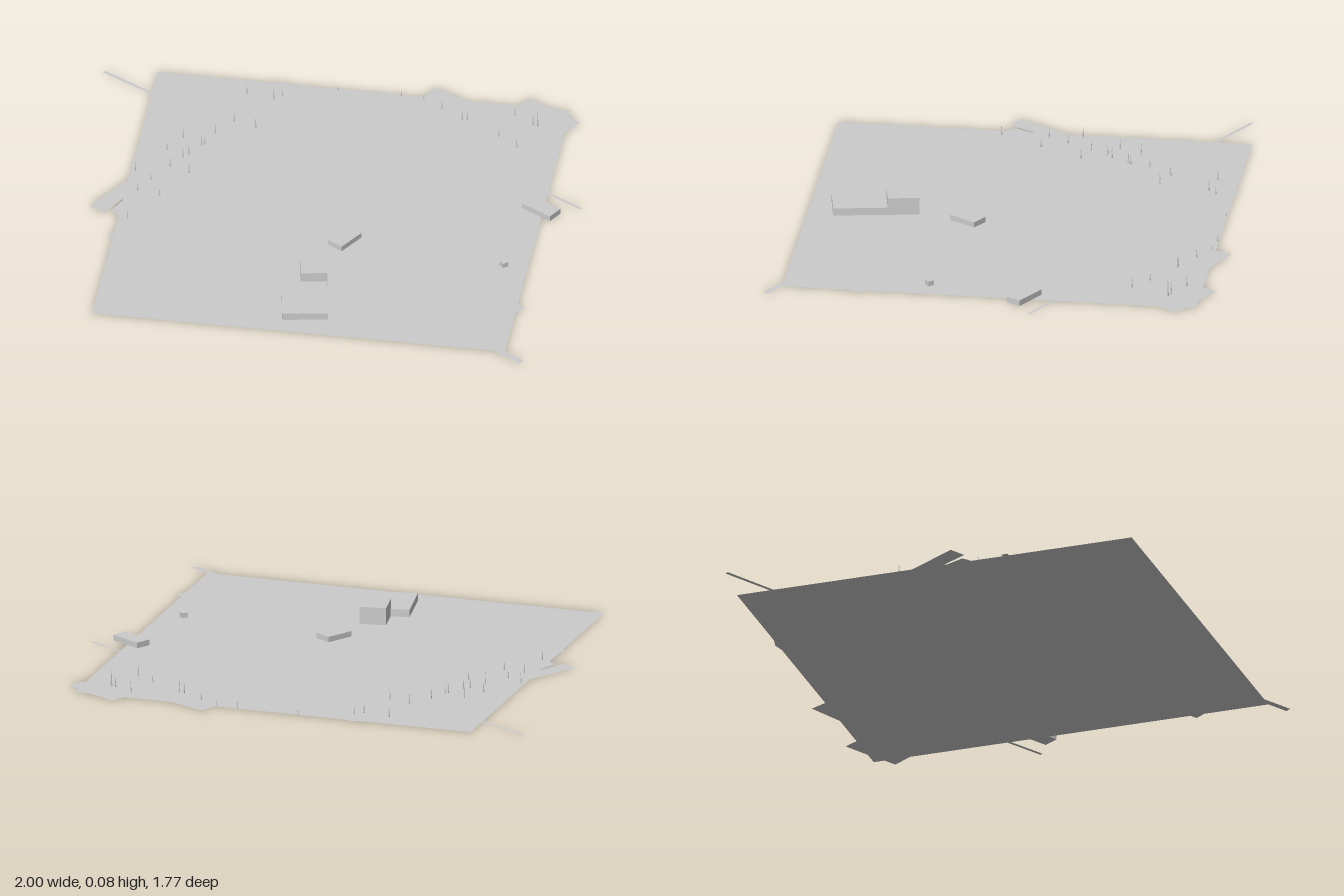
import * as THREE from 'three';

const material = new THREE.MeshStandardMaterial({ color: 0xcccccc, flatShading: true, side: THREE.DoubleSide });

// flat horizontal polygon from [x, z] corners
function flat(name, corners) {
  const shape = new THREE.Shape(corners.map(([x, z]) => new THREE.Vector2(x, -z)));
  const mesh = new THREE.Mesh(new THREE.ShapeGeometry(shape).rotateX(-Math.PI / 2), material);
  mesh.name = name;
  return mesh;
}

// block standing on the ground, turned about y
function block(name, x, z, width, height, depth, degrees) {
  const mesh = new THREE.Mesh(new THREE.BoxGeometry(width, height, depth), material);
  mesh.position.set(x, height / 2, z);
  mesh.rotation.y = THREE.MathUtils.degToRad(degrees);
  mesh.name = name;
  return mesh;
}

export function createModel() {
  const model = new THREE.Group();
  const W = -0.787, E = 0.851, N = -0.826, S = 0.81;

  // ground sheet
  model.add(flat('ground', [[W, N], [W, S], [E, S], [E, N]]));

  // narrow roads leaving the sheet
  model.add(
    flat('backRightRoad', [[-0.99, -0.802], [W, -0.69], [W, -0.674], [-1, -0.79]]),
    flat('leftRoad', [[E, -0.272], [1, -0.187], [0.993, -0.176], [E, -0.257]]),
    flat('frontLeftRoad', [[0.80, S], [E, S], [0.932, 0.856], [0.918, 0.877]]),
  );

  // paved patches sticking out past the edges
  model.add(
    flat('rightPatch', [[W, -0.10], [W, 0.03], [-0.847, 0.137], [-0.91, 0.103]]),
    flat('rightCornerPatch', [[W, 0.045], [-0.82, 0.12], [W, 0.145]]),
    flat('rightTab', [[-0.803, 0.275], [W, 0.275], [W, 0.302], [-0.803, 0.302]]),
    flat('backPatch', [[0.27, N], [0.303, -0.893], [0.447, N]]),
    flat('backLeftPatch', [[0.645, N], [0.677, -0.882], [0.78, N]]),
    flat('backTab', [[-0.344, N], [-0.295, -0.837], [-0.248, N]]),
    flat('leftCornerPatch', [[E, -0.781], [0.90, -0.754], [E, -0.674]]),
    flat('leftTab', [[E, 0.487], [0.878, 0.503], [E, 0.545]]),
  );

  // buildings
  model.add(
    block('lowHall', 0.025, 0.612, 0.179, 0.03, 0.222, 10),
    block('tallHall', 0.034, 0.443, 0.105, 0.07, 0.125, 10),
    block('middleShed', 0.114, 0.176, 0.071, 0.022, 0.12, -31),
    block('leftShed', 0.843, -0.144, 0.139, 0.023, 0.066, -30),
    block('hut', 0.757, 0.24, 0.026, 0.02, 0.026, 40),
  );

  // slender trees: x, z, height
  const trees = [
    [-0.42, -0.74, 0.05], [-0.31, -0.72, 0.05], [-0.28, -0.75, 0.035],
    [-0.44, -0.55, 0.045], [-0.35, -0.52, 0.05], [-0.50, -0.46, 0.05],
    [-0.62, -0.41, 0.05], [-0.53, -0.38, 0.04], [-0.54, -0.37, 0.05],
    [-0.67, -0.32, 0.045], [-0.58, -0.30, 0.05], [-0.60, -0.28, 0.05],
    [-0.64, -0.21, 0.05], [-0.56, -0.18, 0.05], [-0.77, -0.16, 0.045],
    [-0.70, -0.11, 0.04], [-0.74, -0.03, 0.045], [-0.65, -0.01, 0.04],
    [-0.75, 0.16, 0.045], [0.35, -0.76, 0.04], [0.44, -0.70, 0.05],
    [0.46, -0.70, 0.055], [0.64, -0.76, 0.05], [0.72, -0.71, 0.055],
    [0.74, -0.70, 0.08], [0.60, -0.61, 0.035], [0.68, -0.55, 0.05],
    [0.27, -0.81, 0.02], [0.18, -0.82, 0.03], [-0.07, -0.82, 0.02],
  ];
  const treeGeometry = new THREE.ConeGeometry(0.004, 1, 5).translate(0, 0.5, 0);
  const grove = new THREE.Group();
  grove.name = 'trees';
  for (const [x, z, height] of trees) {
    const tree = new THREE.Mesh(treeGeometry, material);
    tree.name = 'tree';
    tree.position.set(x, 0, z);
    tree.scale.y = height;
    grove.add(tree);
  }
  model.add(grove);
  return model;
}
